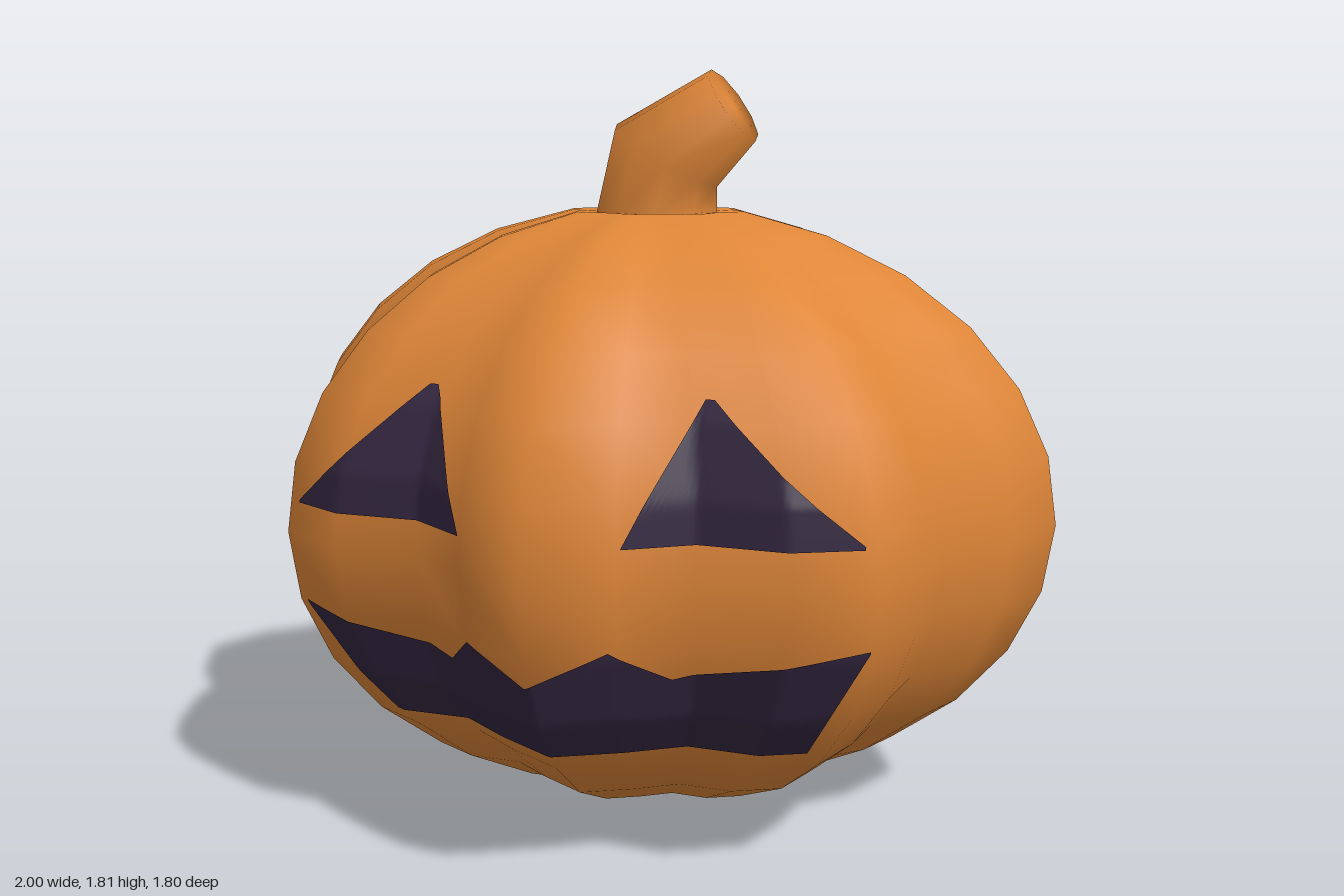
import * as THREE from 'three';
import { mergeVertices } from 'three/addons/utils/BufferGeometryUtils.js';

const skin = new THREE.MeshStandardMaterial({ color: 0xdf8638 });
skin.name = 'pumpkinOrange';
const dark = new THREE.MeshStandardMaterial({ color: 0x33263f });
dark.name = 'carvedPurple';

// Share vertices so the shading is smooth across seams
function smooth(geo) {
  geo.deleteAttribute('uv');
  geo.deleteAttribute('normal');
  const g = mergeVertices(geo, 1e-4);
  g.computeVertexNormals();
  return g;
}

// Ribbed body: a sphere whose radius follows the lobes around each quadrant
function bodyGeometry() {
  const lobe = [1, 0.94, 0.85, 0.915, 0.99, 0.953, 0.855, 0.915, 1];
  const geo = new THREE.SphereGeometry(1, 32, 14);
  const p = geo.attributes.position;
  for (let i = 0; i < p.count; i++) {
    const q = (i % 33) % 16;
    const r = lobe[q <= 8 ? q : 16 - q];
    const y = p.getY(i) > 0.999 ? 0.96 : p.getY(i); // dented top
    p.setXYZ(i, p.getX(i) * r, 0.745 + 0.745 * y, p.getZ(i) * r * 0.9);
  }
  return smooth(geo);
}

// Bent stem: tilted elliptical rings, each [centre x, centre y, half x, half y, half z]
function stemGeometry() {
  const rings = [
    [-0.005, 1.4, 0.155, 0, 0.155],
    [0, 1.47, 0.155, 0, 0.155],
    [0.025, 1.605, 0.13, -0.075, 0.142],
    [0.195, 1.725, 0.056, -0.085, 0.11],
    [0.195, 1.725, 0, 0, 0],
  ];
  const n = 10, pos = [], idx = [];
  rings.forEach(([cx, cy, hx, hy, hz], j) => {
    for (let i = 0; i < n; i++) {
      const a = (i / n) * Math.PI * 2, c = Math.cos(a);
      pos.push(cx + hx * c, cy + hy * c, hz * Math.sin(a));
      if (j === 0) continue;
      const k = (i + 1) % n, lo = (j - 1) * n, hi = j * n;
      idx.push(lo + i, hi + i, lo + k);
      if (j < rings.length - 1) idx.push(hi + i, hi + k, lo + k);
    }
  });
  const geo = new THREE.BufferGeometry();
  geo.setAttribute('position', new THREE.Float32BufferAttribute(pos, 3));
  geo.setIndex(idx);
  const g = mergeVertices(geo, 1e-4);
  g.computeVertexNormals();
  return g;
}

// Height of a polyline at x
function heightAt(line, x) {
  for (let i = 1; i < line.length; i++) {
    const [x0, y0] = line[i - 1], [x1, y1] = line[i];
    if (x <= x1) return y0 + ((y1 - y0) * (x - x0)) / (x1 - x0);
  }
  return line[line.length - 1][1];
}

// Thin skin lying on the body between a lower and an upper outline
function carving(body, lower, upper, side) {
  const ray = new THREE.Raycaster();
  const from = new THREE.Vector3(), dir = new THREE.Vector3(0, 0, -side);
  const knots = [...new Set([...lower, ...upper].map((k) => k[0]))].sort((a, b) => a - b);
  const xs = [knots[0]];
  for (let i = 1; i < knots.length; i++) {
    const span = knots[i] - knots[i - 1], steps = Math.ceil(span / 0.012);
    for (let s = 1; s <= steps; s++) xs.push(knots[i - 1] + (span * s) / steps);
  }
  const rows = 18, pos = [], idx = [];
  xs.forEach((x, c) => {
    const y0 = heightAt(lower, x), y1 = heightAt(upper, x);
    for (let r = 0; r <= rows; r++) {
      const y = y0 + ((y1 - y0) * r) / rows;
      let px = x, hit;
      for (let t = 0; t < 10 && !hit; t++) {
        if (t) px *= 0.985;
        ray.set(from.set(px, y, side * 3), dir);
        hit = ray.intersectObject(body)[0];
      }
      pos.push(px, y, (hit ? hit.point.z : 0) + side * 0.007);
      if (c === 0 || r === 0) continue;
      const b = c * (rows + 1) + r, a = b - rows - 1;
      if (side > 0) idx.push(a - 1, b - 1, b, a - 1, b, a);
      else idx.push(a - 1, b, b - 1, a - 1, a, b);
    }
  });
  const geo = new THREE.BufferGeometry();
  geo.setAttribute('position', new THREE.Float32BufferAttribute(pos, 3));
  geo.setIndex(idx);
  geo.computeVertexNormals();
  return new THREE.Mesh(geo, dark);
}

export function createModel() {
  const model = new THREE.Group();
  model.name = 'pumpkin';

  const body = new THREE.Mesh(bodyGeometry(), skin);
  body.name = 'body';
  const stem = new THREE.Mesh(stemGeometry(), skin);
  stem.name = 'stem';
  model.add(body, stem);

  // Carved face outlines: [lower line, upper line]
  const features = {
    rightEye: [
      [[-0.655, 0.823], [-0.18, 0.823]],
      [[-0.655, 0.83], [-0.325, 1.115], [-0.305, 1.115], [-0.18, 0.825]],
    ],
    leftEye: [
      [[0.187, 0.823], [0.667, 0.823]],
      [[0.187, 0.825], [0.315, 1.115], [0.335, 1.115], [0.667, 0.83]],
    ],
    mouth: [
      [[-0.65, 0.583], [-0.455, 0.322], [0.53, 0.322], [0.68, 0.595]],
      [[-0.65, 0.588], [-0.235, 0.52], [-0.165, 0.588], [-0.01, 0.518],
        [0.16, 0.598], [0.27, 0.52], [0.68, 0.6]],
    ],
  };

  // The same face appears on the front and on the back
  for (const side of [1, -1]) {
    const face = new THREE.Group();
    face.name = side > 0 ? 'frontFace' : 'backFace';
    for (const [name, [lower, upper]] of Object.entries(features)) {
      const part = carving(body, lower, upper, side);
      part.name = name;
      face.add(part);
    }
    model.add(face);
  }
  return model;
}
